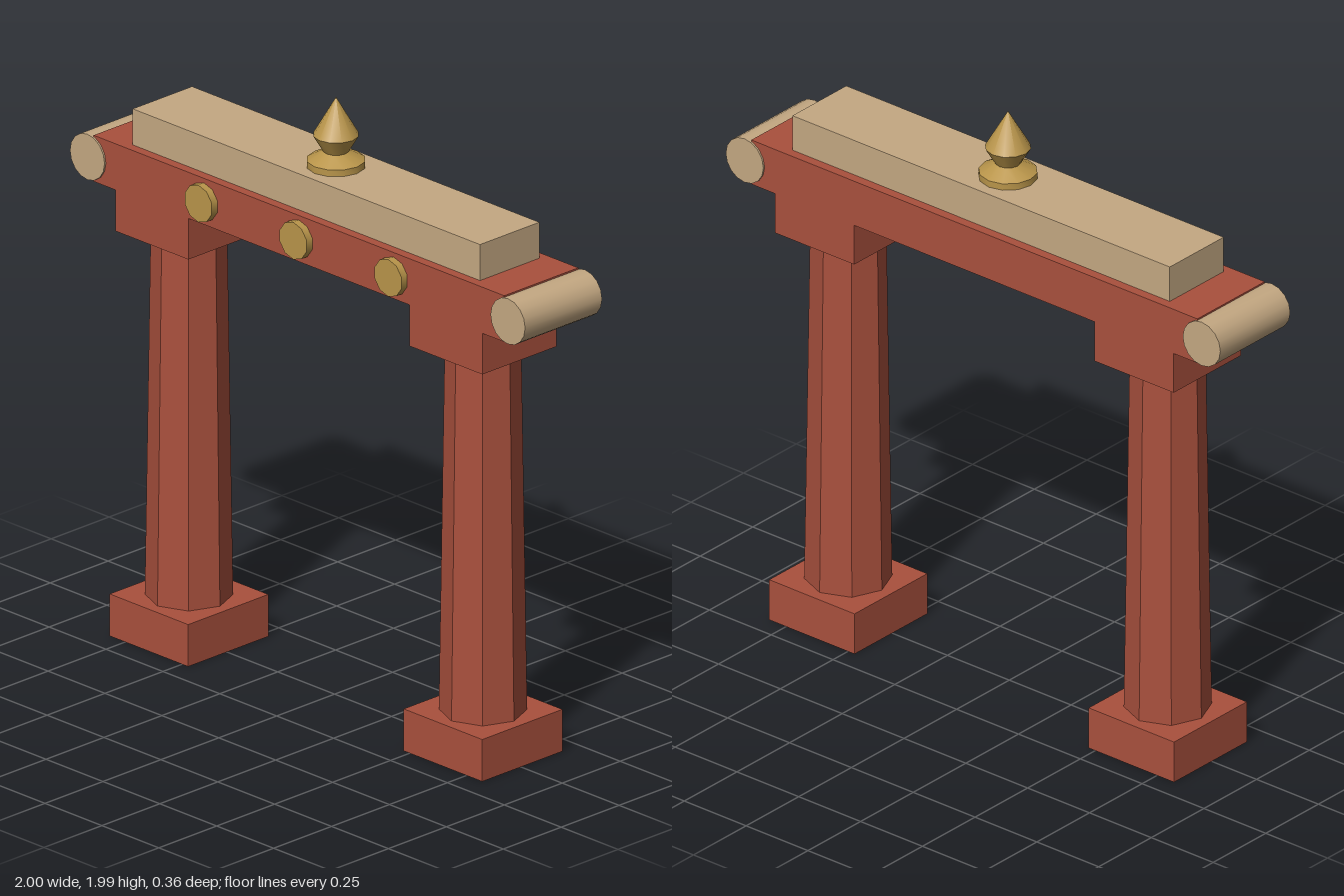
import * as THREE from 'three';
import { toCreasedNormals } from 'three/addons/utils/BufferGeometryUtils.js';

const CENTRE_Z = -0.006;

export function createModel() {
  const root = new THREE.Group();
  root.name = 'gateway';
  const red = new THREE.MeshStandardMaterial({ color: 0xa9503d });
  const tan = new THREE.MeshStandardMaterial({ color: 0xc4a882 });
  const gold = new THREE.MeshStandardMaterial({ color: 0xb9954a });

  const add = (parent, name, geometry, material, x, y, z = CENTRE_Z) => {
    const mesh = new THREE.Mesh(geometry, material);
    mesh.name = name;
    mesh.position.set(x, y, z);
    parent.add(mesh);
    return mesh;
  };
  // box given by its bottom and top heights
  const block = (parent, name, material, x, w, y0, y1, d) =>
    add(parent, name, new THREE.BoxGeometry(w, y1 - y0, d), material, x, (y0 + y1) / 2);

  // pillars: plinth, tapered octagonal shaft and capital
  const shaft = toCreasedNormals(new THREE.CylinderGeometry(0.118, 0.136, 1.21, 8), 0.5);
  // scroll-end rolls lie along z
  const roll = toCreasedNormals(new THREE.CylinderGeometry(0.076, 0.076, 0.332, 16).rotateX(Math.PI / 2), 0.6);
  for (const side of [1, -1]) {
    const pillar = new THREE.Group();
    pillar.name = side > 0 ? 'leftPillar' : 'rightPillar';
    root.add(pillar);
    const x = side * 0.646;
    block(pillar, 'plinth', red, x, 0.345, 0, 0.14, 0.346);
    add(pillar, 'shaft', shaft, red, x, 0.745);
    block(pillar, 'capital', red, x, 0.32, 1.35, 1.487, 0.32);
    add(root, side > 0 ? 'leftRoll' : 'rightRoll', roll, tan, side * 0.924, 1.564);
  }

  // lintel and the slab on top of it
  block(root, 'lintel', red, 0, 1.804, 1.487, 1.641, 0.32);
  block(root, 'topSlab', tan, 0, 1.526, 1.641, 1.761, 0.256);

  // round studs on the front of the lintel
  const stud = toCreasedNormals(new THREE.CylinderGeometry(0.062, 0.062, 0.04, 10).rotateX(Math.PI / 2), 0.7);
  for (const x of [-0.417, 0, 0.417]) add(root, 'stud', stud, gold, x, 1.564, 0.159);

  // pointed finial
  const profile = [[0, 0], [0.092, 0], [0.092, 0.022], [0.04, 0.05], [0.072, 0.104], [0, 0.229]]
    .map(([r, y]) => new THREE.Vector2(r, y));
  add(root, 'finial', toCreasedNormals(new THREE.LatheGeometry(profile, 12), 0.6), gold, 0, 1.761);

  return root;
}
